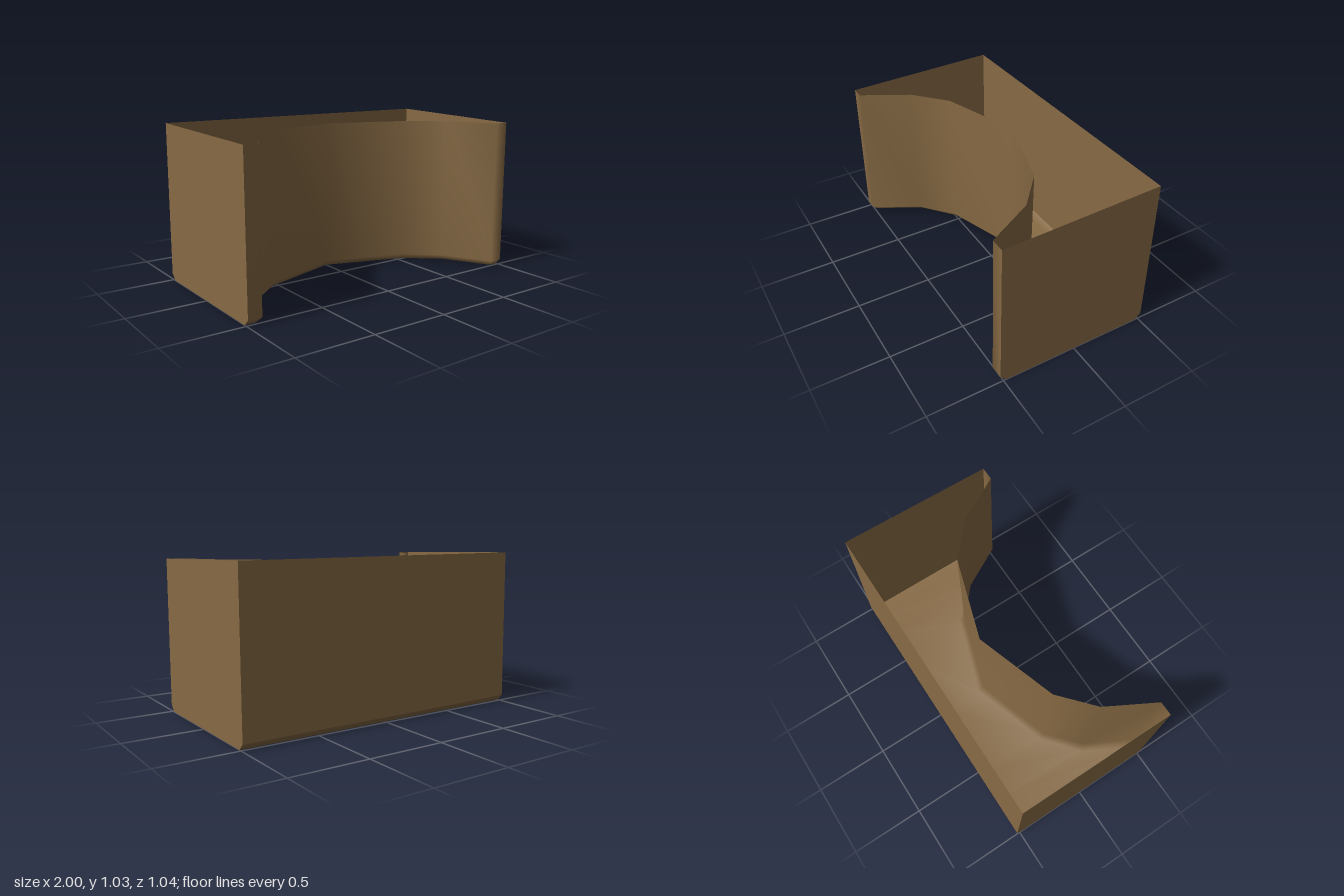
import * as THREE from 'three';

// Smooth sheet through rows of [x, y, z] points, each row having the same count
function sheet(rows) {
  const n = rows[0].length, index = [];
  for (let r = 0; r < rows.length - 1; r++) {
    for (let i = 0; i < n - 1; i++) {
      const a = r * n + i, b = a + n;
      index.push(a, b, b + 1, a, b + 1, a + 1);
    }
  }
  const geometry = new THREE.BufferGeometry();
  geometry.setAttribute('position', new THREE.Float32BufferAttribute(rows.flat(2), 3));
  geometry.setIndex(index);
  geometry.computeVertexNormals();
  return geometry;
}

// Mirror half a plan outline (outer end to centre) into a full row at height y
function row(half, y) {
  const left = half.map(([x, z]) => [-x, y, z]);
  const right = half.slice(0, -1).reverse().map(([x, z]) => [x, y, z]);
  return [...left, ...right];
}

export function createModel() {
  const group = new THREE.Group();
  group.name = 'curvedPouch';
  const brown = new THREE.MeshStandardMaterial({ color: 0x876a44, side: THREE.DoubleSide });
  brown.name = 'brown';

  const add = (name, geometry) => {
    const mesh = new THREE.Mesh(geometry, brown);
    mesh.name = name;
    group.add(mesh);
    return mesh;
  };

  // Hollowed front outline, and the bevelled-in outline of the floor
  const wall = [[1, 0.52], [0.91, 0.52], [0.74, 0.21], [0.525, 0.02], [0, -0.15]];
  const floor = [[1, 0.48], [0.935, 0.48], [0.77, 0.18], [0.54, -0.01], [0, -0.19]];
  const back = z => wall.map(([x]) => [x, z]);

  // Concave front, bevel, floor and rear bevel flow as one smooth skin
  add('frontAndFloor', sheet([
    row(wall, 1), row(wall, 0.04), row(floor, 0), row(back(-0.48), 0), row(back(-0.52), 0.04),
  ]));

  // Flat back panel, leaning slightly forward
  add('backPanel', sheet([
    [[-1, 0.04, -0.52], [1, 0.04, -0.52]],
    [[-1, 1.03, -0.51], [1, 1.03, -0.51]],
  ]));

  // Flat side panels with clipped lower corners
  const profile = [[0.52, 1], [0.52, 0.04], [0.48, 0], [-0.48, 0], [-0.52, 0.04], [-0.51, 1.03]];
  for (const side of [-1, 1]) {
    const shape = new THREE.Shape(profile.map(([z, y]) => new THREE.Vector2(-side * z, y)));
    const geometry = new THREE.ShapeGeometry(shape).rotateY(side * Math.PI / 2);
    add(side > 0 ? 'leftPanel' : 'rightPanel', geometry).position.x = side;
  }

  return group;
}
